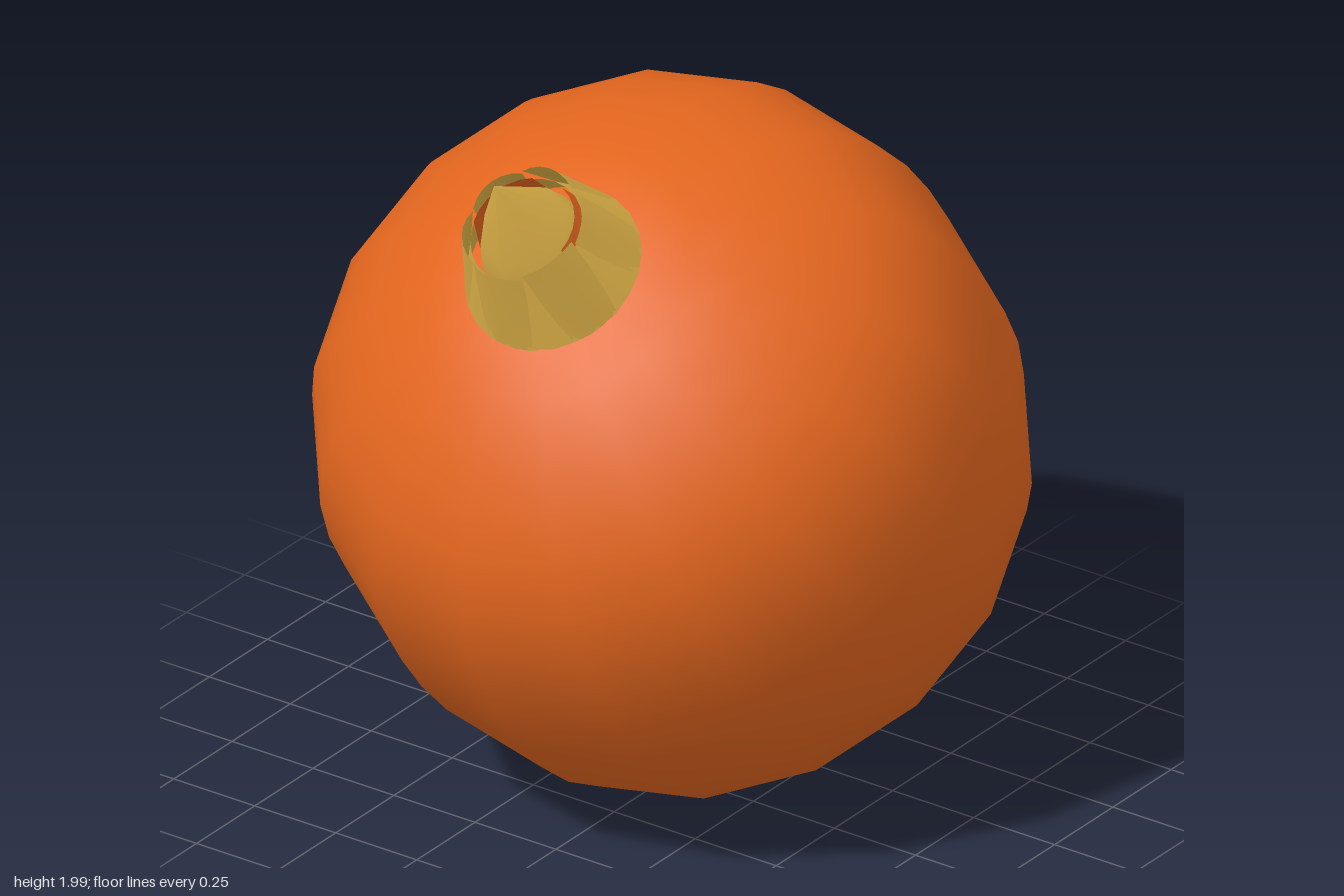
import * as THREE from 'three';

const mat = (name, color, side = THREE.FrontSide) => {
  const m = new THREE.MeshStandardMaterial({ color, side });
  m.name = name;
  return m;
};

// seeded random numbers
function seeded(seed) {
  return () => (seed = (seed * 16807) % 2147483647) / 2147483647;
}

// thin curved sheet: point(s, t) gives [angle, radius, height] for s, t in 0..1
function sheet(point, ns, nt) {
  const pos = [], idx = [];
  for (let j = 0; j <= nt; j++) {
    for (let i = 0; i <= ns; i++) {
      const [a, r, h] = point(i / ns, j / nt);
      pos.push(r * Math.sin(a), h, r * Math.cos(a));
      if (i < ns && j < nt) {
        const p = j * (ns + 1) + i, q = p + ns + 1;
        idx.push(p, p + 1, q, p + 1, q + 1, q);
      }
    }
  }
  const g = new THREE.BufferGeometry();
  g.setAttribute('position', new THREE.Float32BufferAttribute(pos, 3));
  g.setIndex(idx);
  g.computeVertexNormals();
  return g;
}

const lathe = (pts, n) => new THREE.LatheGeometry(pts.map(p => new THREE.Vector2(...p)), n);

export function createModel() {
  const model = new THREE.Group();
  const orange = mat('orange skin', 0xe2651e, THREE.DoubleSide);
  const gold = mat('golden dry skin', 0xdeb248, THREE.DoubleSide);
  const brown = mat('brown root', 0x55331f);
  const rnd = seeded(11);

  // everything is built around the y axis, then tilted forward
  const bulb = new THREE.Group();
  bulb.name = 'bulb';
  bulb.position.y = 0.975;
  bulb.rotation.x = 0.64;
  model.add(bulb);
  const add = (name, geometry, material, parent = bulb) => {
    const m = new THREE.Mesh(geometry, material);
    m.name = name;
    parent.add(m);
    return m;
  };

  // round body, sixteen sided; radius given by angle from the neck in degrees
  const radii = [[149.7, 0.887], [143, 0.903], [124, 0.916], [90, 0.889], [58, 0.918], [37, 0.897], [15, 0.89]];
  const curve = new THREE.CatmullRomCurve3(radii.map(([d, r]) => new THREE.Vector3(THREE.MathUtils.degToRad(d), r, 0)));
  const profile = curve.getSpacedPoints(15).map(({ x, y }) => [y * Math.sin(x), y * Math.cos(x)]);
  profile.push([0, 0.88]);
  add('body', lathe(profile, 16), orange);

  // neck collar, with inner orange layers showing at the back of the rim
  add('neckCollar', lathe([[0.242, 0.845], [0.195, 0.95], [0.15, 1.05]], 24), gold);
  for (const side of [-1, 1]) {
    add('neckLining', sheet((s, t) => [side * (1.35 + 1.45 * s), 0.178 - 0.04 * t, 0.92 + 0.155 * t], 6, 1), orange);
  }

  // overlapping dry leaves around the neck, with notched tops
  const neck = new THREE.Group();
  neck.name = 'neckLeaves';
  bulb.add(neck);
  const tops = [1.085, 1.10, 1.08, 1.10, 1.09, 1.085];
  tops.forEach((top, k) => {
    const mid = (k / tops.length) * Math.PI * 2;
    add('neckLeaf', sheet((s, t) => {
      const e = 2 * s - 1;
      const half = 0.28 + 0.23 * t;
      const h = 0.85 + (top - 0.015 * e * e - 0.85) * t;
      const r = 0.238 - 0.09 * t + 0.012 * t * (1 - 0.4 * e * e);
      return [mid + e * half, r, h];
    }, 6, 3), gold, neck);
  });

  // pointed shoot in the middle of the neck
  add('shoot', lathe([[0.15, 0.97], [0.12, 1.07], [0, 1.282]], 8), gold);

  // root plate with a raised rim and a shallow bowl, joined to the skin by a skirt
  add('rootPlate', lathe([
    [0, -0.815], [0.09, -0.83], [0.16, -0.885], [0.23, -0.905], [0.31, -0.905], [0.335, -0.89], [0.34, -0.81],
  ], 24), brown);
  add('rootSkirt', lathe([[0.3, -0.825], [0.35, -0.817], [0.449, -0.764]], 16), brown);

  // two rings of short, crowded root stubs
  const roots = new THREE.Group();
  roots.name = 'roots';
  bulb.add(roots);
  const ring = (count, radius, size, tip) => {
    for (let i = 0; i < count; i++) {
      const a = ((i + 0.3 * rnd()) / count) * Math.PI * 2;
      const end = tip + 0.035 * rnd();
      const len = -0.81 - end;
      const stub = add('rootStub', new THREE.CylinderGeometry(size * 0.9, size, len, 8), brown, roots);
      const r = radius + 0.02 * (rnd() - 0.5);
      stub.position.set(r * Math.sin(a), end + len / 2, r * Math.cos(a));
      stub.rotation.set(0.25 * (rnd() - 0.5), a, 0.25 * (rnd() - 0.5));
    }
  };
  ring(15, 0.3, 0.06, -0.95);
  ring(12, 0.205, 0.052, -0.94);

  return model;
}
